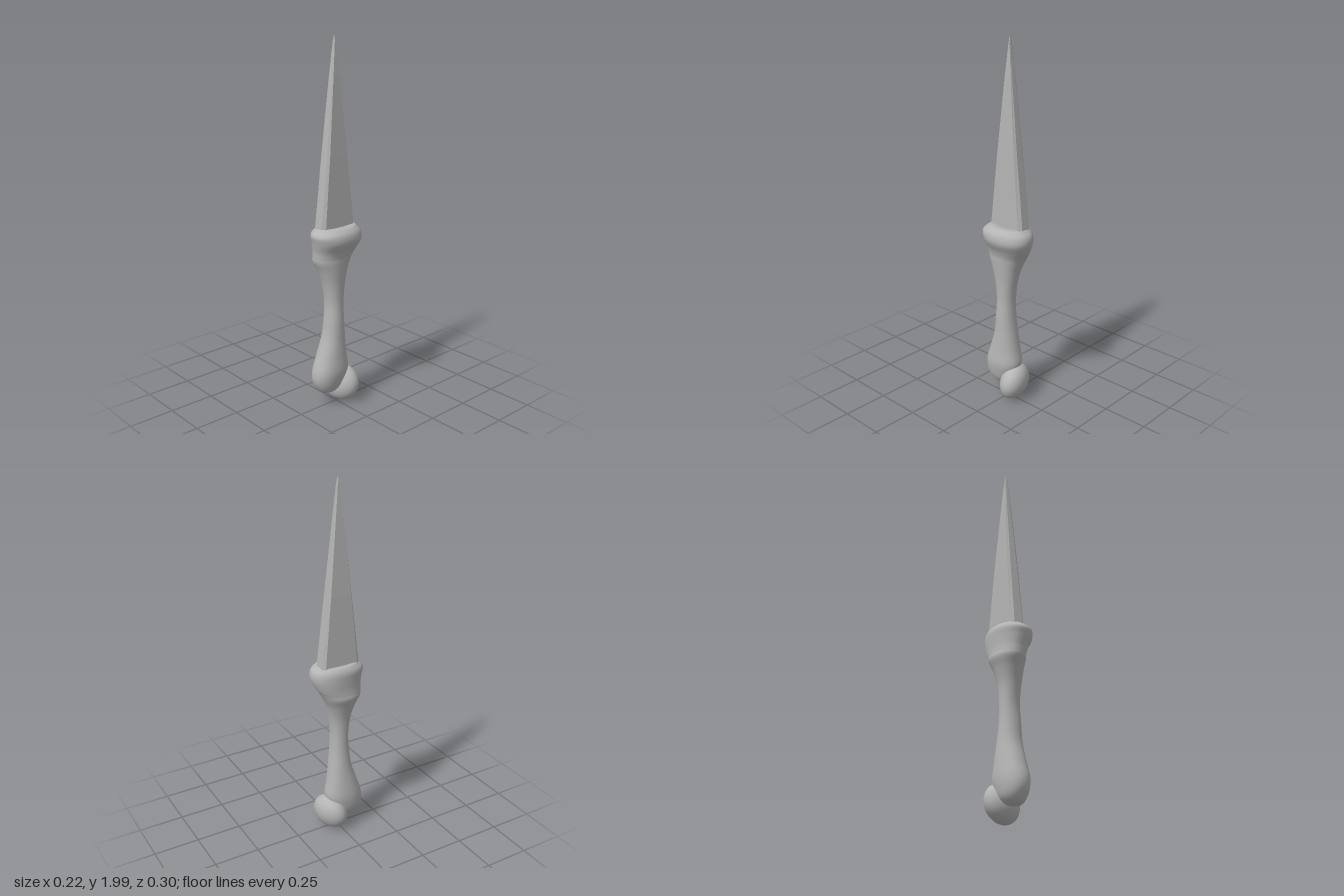
import * as THREE from 'three';

// Closed skin over equal-sized rings of points, listed from bottom to top
function skin(rings) {
  const n = rings[0].length, index = [];
  for (let i = 0; i < rings.length - 1; i++) {
    for (let j = 0; j < n; j++) {
      const k = (j + 1) % n;
      const a = i * n + j, b = i * n + k, c = a + n, d = b + n;
      index.push(a, c, b, b, c, d);
    }
  }
  const geo = new THREE.BufferGeometry();
  geo.setAttribute('position', new THREE.Float32BufferAttribute(rings.flat(2), 3));
  geo.setIndex(index);
  geo.computeVertexNormals();
  return geo;
}

// Smooth loft through rows of [y, xMin, xMax, zMin, zMax]
function loft(rows, steps, sides) {
  const spline = (p) => new THREE.CatmullRomCurve3(p, false, 'catmullrom', 0.5);
  const xs = spline(rows.map((r) => new THREE.Vector3(r[0], r[1], r[2])));
  const zs = spline(rows.map((r) => new THREE.Vector3(r[0], r[3], r[4])));
  const round = (v) => Math.sign(v) * Math.abs(v) ** 0.92;
  const rings = [];
  for (let i = 0; i <= steps; i++) {
    const p = xs.getPoint(i / steps), q = zs.getPoint(i / steps), ring = [];
    for (let j = 0; j < sides; j++) {
      const a = (j / sides) * Math.PI * 2;
      ring.push([
        (p.y + p.z) / 2 + round(Math.cos(a)) * (p.z - p.y) / 2,
        p.x,
        (q.y + q.z) / 2 + round(Math.sin(a)) * (q.z - q.y) / 2,
      ]);
    }
    rings.push(ring);
  }
  return skin(rings);
}

export function createModel() {
  const group = new THREE.Group();
  const grey = new THREE.MeshStandardMaterial({ color: 0xb4b4b4 });
  grey.name = 'bone grey';
  const add = (name, geo) => {
    const mesh = new THREE.Mesh(geo, grey);
    mesh.name = name;
    group.add(mesh);
    return mesh;
  };

  // Bone handle: front knuckle at the bottom, thin shaft, flared head
  add('boneHandle', loft([
    [0.085, -0.012, -0.01, 0.055, 0.056],
    [0.09, -0.045, 0.03, 0.01, 0.10],
    [0.12, -0.072, 0.052, -0.03, 0.128],
    [0.165, -0.083, 0.065, -0.055, 0.145],
    [0.22, -0.086, 0.072, -0.072, 0.142],
    [0.30, -0.078, 0.066, -0.06, 0.115],
    [0.40, -0.065, 0.06, -0.047, 0.083],
    [0.50, -0.056, 0.058, -0.037, 0.07],
    [0.60, -0.054, 0.053, -0.034, 0.064],
    [0.70, -0.06, 0.056, -0.045, 0.077],
    [0.78, -0.08, 0.063, -0.064, 0.10],
    [0.835, -0.10, 0.068, -0.088, 0.124],
    [0.865, -0.099, 0.071, -0.105, 0.128],
    [0.90, -0.098, 0.083, -0.127, 0.131],
    [0.95, -0.10, 0.108, -0.147, 0.143],
    [0.99, -0.10, 0.107, -0.145, 0.15],
    [1.015, -0.09, 0.09, -0.125, 0.125],
    [1.026, -0.07, 0.065, -0.10, 0.10],
    [1.015, -0.012, -0.01, -0.001, 0.001],
  ], 108, 36), );

  // Rounded rear knuckle, turned slightly so its left end sits further back
  const knuckle = add('rearKnuckle', new THREE.SphereGeometry(1, 36, 24));
  knuckle.scale.set(0.108, 0.102, 0.074);
  knuckle.rotation.set(-0.25, 0.3, 0);
  knuckle.position.set(-0.005, 0.11, -0.042);

  // Slender four-sided blade with clipped corners: [y, half width, half depth]
  const blade = skin([
    [0.97, 0.001, 0.001], [0.97, 0.045, 0.116], [1.03, 0.043, 0.111],
    [1.4, 0.035, 0.069], [1.8, 0.018, 0.024], [1.97, 0.008, 0.004], [2, 0.001, 0.001],
  ].map(([y, w, d]) => [
    [1, -0.85], [1, 0.85], [0.6, 1], [-0.6, 1],
    [-1, 0.85], [-1, -0.85], [-0.6, -1], [0.6, -1],
  ].map(([x, z]) => [x * w - 0.012, y, z * d]))).toNonIndexed();
  blade.computeVertexNormals();
  add('blade', blade);

  return group;
}
